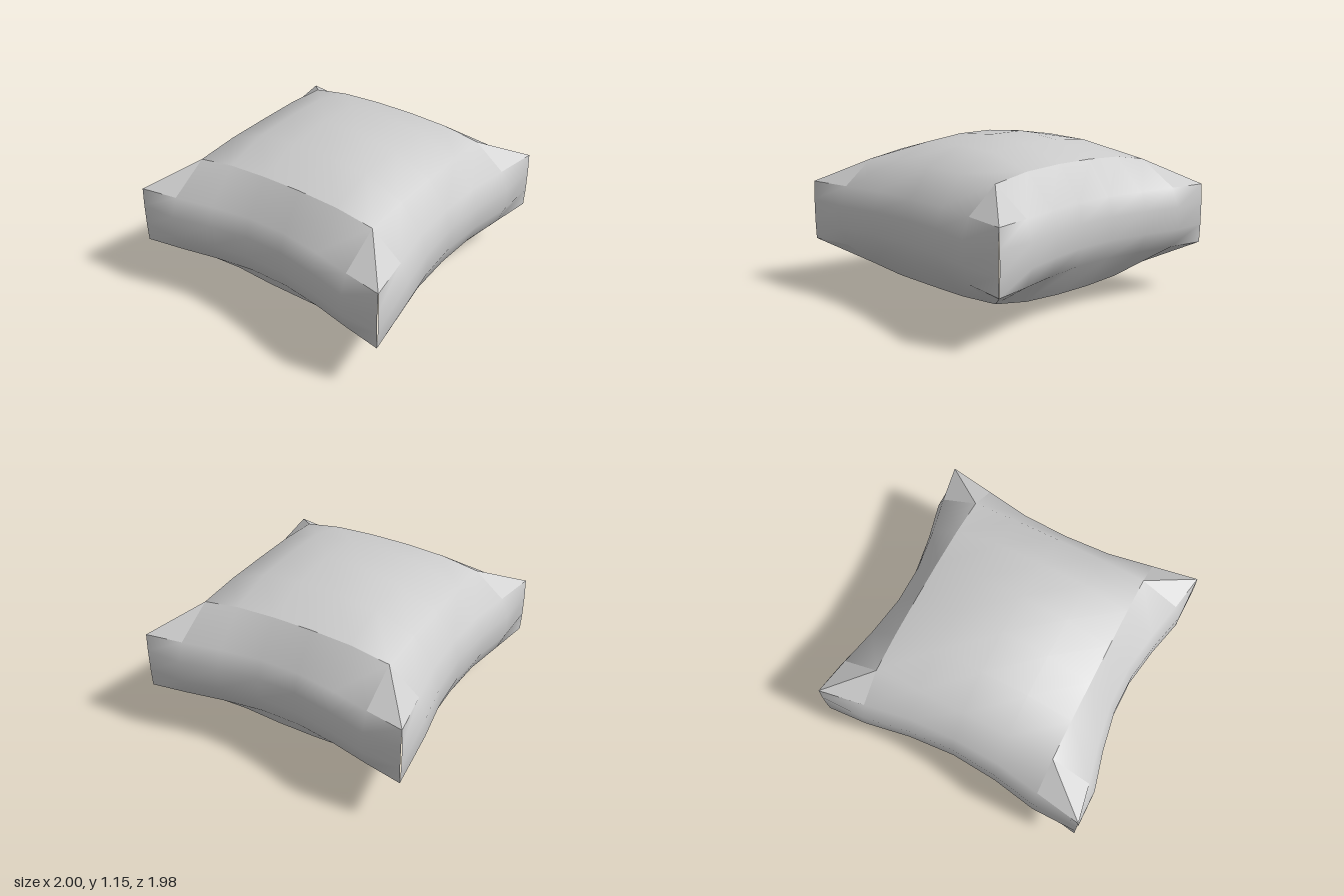
import * as THREE from 'three';

const MID = 0.578; // height of the plane of symmetry
const XS = [0, 0.34, 0.665, 0.995]; // half columns, centre to corner
const ZS = [0.145, 0.44, 0.715, 0.985]; // half rows, centre to corner
// crown height above MID, by row then column
const CROWN = [
  [0.577, 0.55, 0.447],
  [0.53, 0.52, 0.432],
  [0.412, 0.41, 0.387],
];
// border panels: depth at the seams and at mid height, centre to corner
const FRONT_SEAM = [0.86, 0.875, 0.93, 0.985];
const FRONT_MID = [0.905, 0.93, 0.988, 0.99];
const SIDE_SEAM = [0.84, 0.885, 0.945, 0.995];
const SIDE_MID = [0.88, 0.93, 0.998, 1];
const PANEL = [-0.214, -0.08, 0.08, 0.214]; // panel heights about MID

// smooth surface over columns x rows, with cells that can be left out
function gridGeometry(cols, rows, point, keep) {
  const pos = [], index = [];
  for (let i = 0; i < cols; i++) {
    for (let j = 0; j < rows; j++) pos.push(...point(i, j));
  }
  for (let i = 0; i < cols - 1; i++) {
    for (let j = 0; j < rows; j++) {
      if (!keep(i, j)) continue;
      const k = (j + 1) % rows;
      const a = i * rows + j, b = a + rows, c = (i + 1) * rows + k, d = i * rows + k;
      index.push(a, b, c, a, c, d);
    }
  }
  const g = new THREE.BufferGeometry();
  g.setAttribute('position', new THREE.Float32BufferAttribute(pos, 3));
  g.setIndex(index);
  g.computeVertexNormals();
  return g;
}

// closed loop: front panel, crown, back panel, underside
function coverPoint(i, j) {
  const a = Math.abs(i - 3);
  const half = j < 10 ? 1 : -1; // the second half is the first turned about x
  const k = j % 10;
  const x = Math.sign(i - 3) * XS[a];
  let y, z;
  if (k < 4) {
    y = PANEL[k];
    z = k === 0 || k === 3 ? FRONT_SEAM[a] : FRONT_MID[a];
  } else {
    const row = k < 7 ? 6 - k : k - 7;
    z = (k < 7 ? 1 : -1) * ZS[row];
    y = CROWN[row][Math.min(a, 2)];
  }
  return [x, MID + half * y, half * z];
}

// side panel with the sloping bands above and below it
function sidePoint(i, j) {
  const row = i < 4 ? 3 - i : i - 4;
  const z = (i < 4 ? 1 : -1) * ZS[row];
  if (j === 0 || j === 5) {
    const h = CROWN[Math.min(row, 2)][2];
    return [XS[2], MID + (j === 5 ? h : -h), z];
  }
  const seam = j === 1 || j === 4;
  return [seam ? SIDE_SEAM[row] : SIDE_MID[row], MID + PANEL[j - 1], z];
}

// folded corner facet
function cornerGeometry(sx, sy, sz) {
  const s = PANEL[3];
  const A = [XS[3], s, ZS[3]], B = [XS[2], s, FRONT_SEAM[2]];
  const C = [XS[2], CROWN[2][2], ZS[2]], D = [SIDE_SEAM[2], s, ZS[2]];
  let corners = [A, D, C, A, C, B];
  if (sx * sy * sz < 0) corners = corners.reverse();
  const g = new THREE.BufferGeometry();
  const pos = corners.flatMap(([x, y, z]) => [sx * x, MID + sy * y, sz * z]);
  g.setAttribute('position', new THREE.Float32BufferAttribute(pos, 3));
  g.computeVertexNormals();
  return g;
}

export function createModel() {
  const group = new THREE.Group();
  group.name = 'cushion';
  const material = new THREE.MeshStandardMaterial({ color: 0xcccccc });
  const add = (name, geometry) => {
    const mesh = new THREE.Mesh(geometry, material);
    mesh.name = name;
    group.add(mesh);
    return mesh;
  };

  // main cover, its outer columns holding only the front and back panels
  add('cover', gridGeometry(7, 20, coverPoint,
    (i, j) => (i > 0 && i < 5) || j % 10 < 3));

  // matching sides
  const side = gridGeometry(8, 6, sidePoint,
    (i, j) => j < 5 && ((i > 0 && i < 6) || (j > 0 && j < 4)));
  add('leftSide', side);
  add('rightSide', side).rotation.y = Math.PI;

  // eight corner facets
  for (const sx of [1, -1]) {
    for (const sy of [1, -1]) {
      for (const sz of [1, -1]) {
        const name = (sy > 0 ? 'top' : 'bottom') + (sz > 0 ? 'Front' : 'Back') +
          (sx > 0 ? 'Left' : 'Right') + 'Corner';
        add(name, cornerGeometry(sx, sy, sz));
      }
    }
  }
  return group;
}
